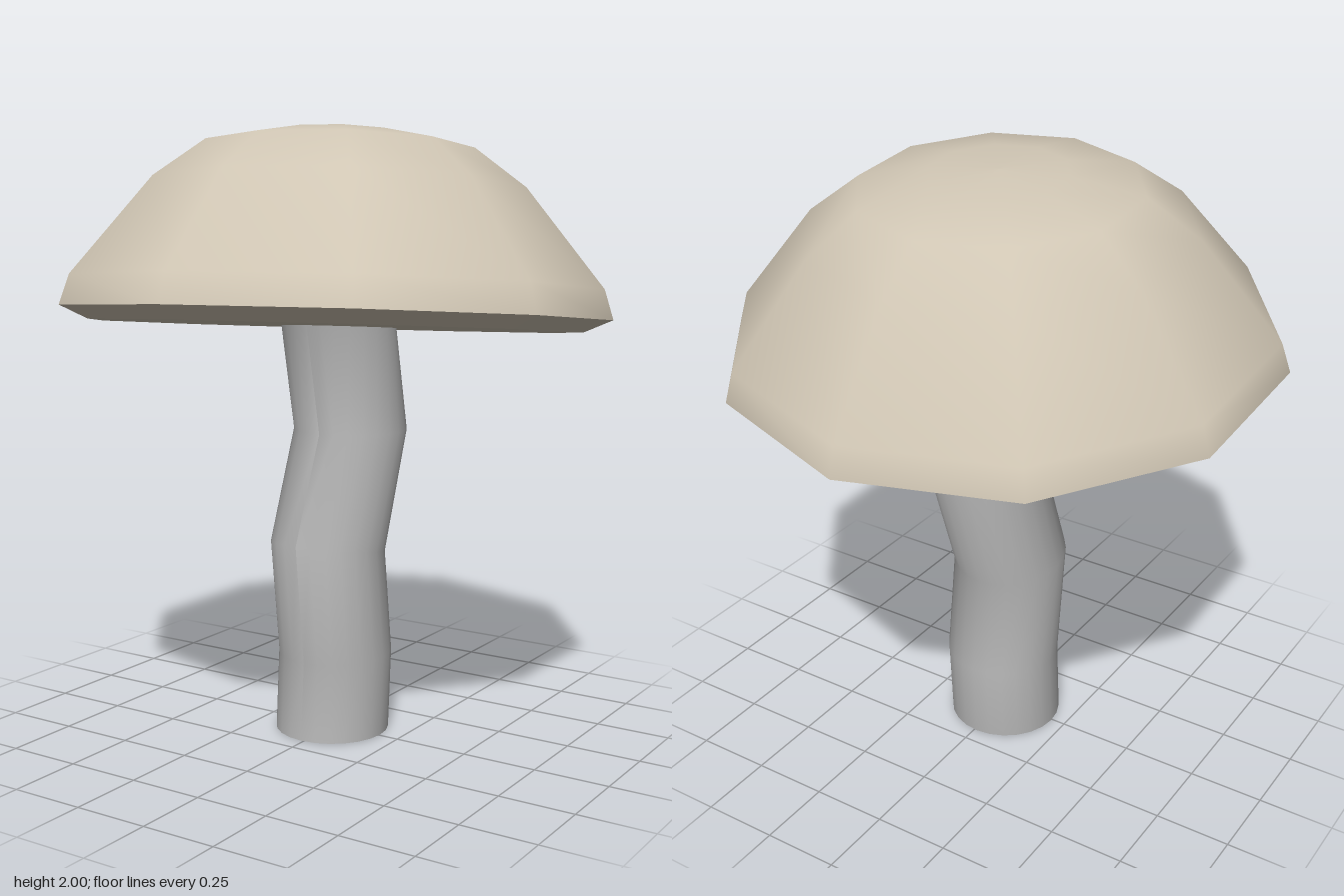
import * as THREE from 'three';

const capMaterial = new THREE.MeshStandardMaterial({ color: 0xd0c6b4 });
capMaterial.name = 'beige cap';
const stemMaterial = new THREE.MeshStandardMaterial({ color: 0xb8b8b8, side: THREE.DoubleSide });
stemMaterial.name = 'grey stem';

const CAP_SIDES = 10;

// Ten-sided turned surface from [radius, height] pairs
function turned(pairs) {
  return new THREE.LatheGeometry(pairs.map(([r, y]) => new THREE.Vector2(r, y)), CAP_SIDES);
}

function addMesh(parent, name, geometry, material) {
  const mesh = new THREE.Mesh(geometry, material);
  mesh.name = name;
  parent.add(mesh);
}

// Open crooked tube: each ring has a height, a z offset and a slope along z
function stemGeometry() {
  const rings = [
    { y: 0, z: -0.005, slope: 0 },
    { y: 0.265, z: -0.023, slope: -0.03 },
    { y: 0.63, z: 0.022, slope: 0.16 },
    { y: 1.008, z: -0.117, slope: 0.01 },
    { y: 1.42, z: -0.032, slope: 0.08 },
  ];
  const sides = 24;
  const geometry = new THREE.CylinderGeometry(0.19, 0.19, 1, sides, rings.length - 1, true);
  const pos = geometry.attributes.position;
  const normal = geometry.attributes.normal;
  const around = normal.clone();
  for (let i = 0; i < pos.count; i++) {
    const ring = rings[Math.round((pos.getY(i) + 0.5) * (rings.length - 1))];
    const z = pos.getZ(i);
    pos.setXYZ(i, pos.getX(i) - 0.01, ring.y + z * ring.slope, z + ring.z);
  }
  geometry.computeVertexNormals();
  // Keep the seam smooth
  for (let i = 0; i < pos.count; i += sides + 1) {
    for (const k of [i, i + sides]) {
      normal.setXYZ(k, 0, normal.getY(k), around.getZ(k));
    }
  }
  normal.needsUpdate = true;
  geometry.normalizeNormals();
  return geometry;
}

export function createModel() {
  const model = new THREE.Group();
  model.name = 'mushroom';

  addMesh(model, 'stem', stemGeometry(), stemMaterial);

  // Cap, tipped up at the front and slightly to one side
  const cap = new THREE.Group();
  cap.name = 'cap';
  cap.position.y = 1.4;
  cap.rotation.set(-0.092, 0, 0.027);
  model.add(cap);

  const dome = turned([
    [0.9, 0], [0.87, 0.095], [0.615, 0.41], [0.447, 0.535], [0.22, 0.582], [0, 0.59],
  ]);
  addMesh(cap, 'capDome', dome, capMaterial);

  // Flat underside with a narrow bevel at the rim
  const underside = turned([[0, -0.04], [0.81, -0.04], [0.9, 0]]).toNonIndexed();
  underside.computeVertexNormals();
  addMesh(cap, 'capUnderside', underside, capMaterial);

  return model;
}
